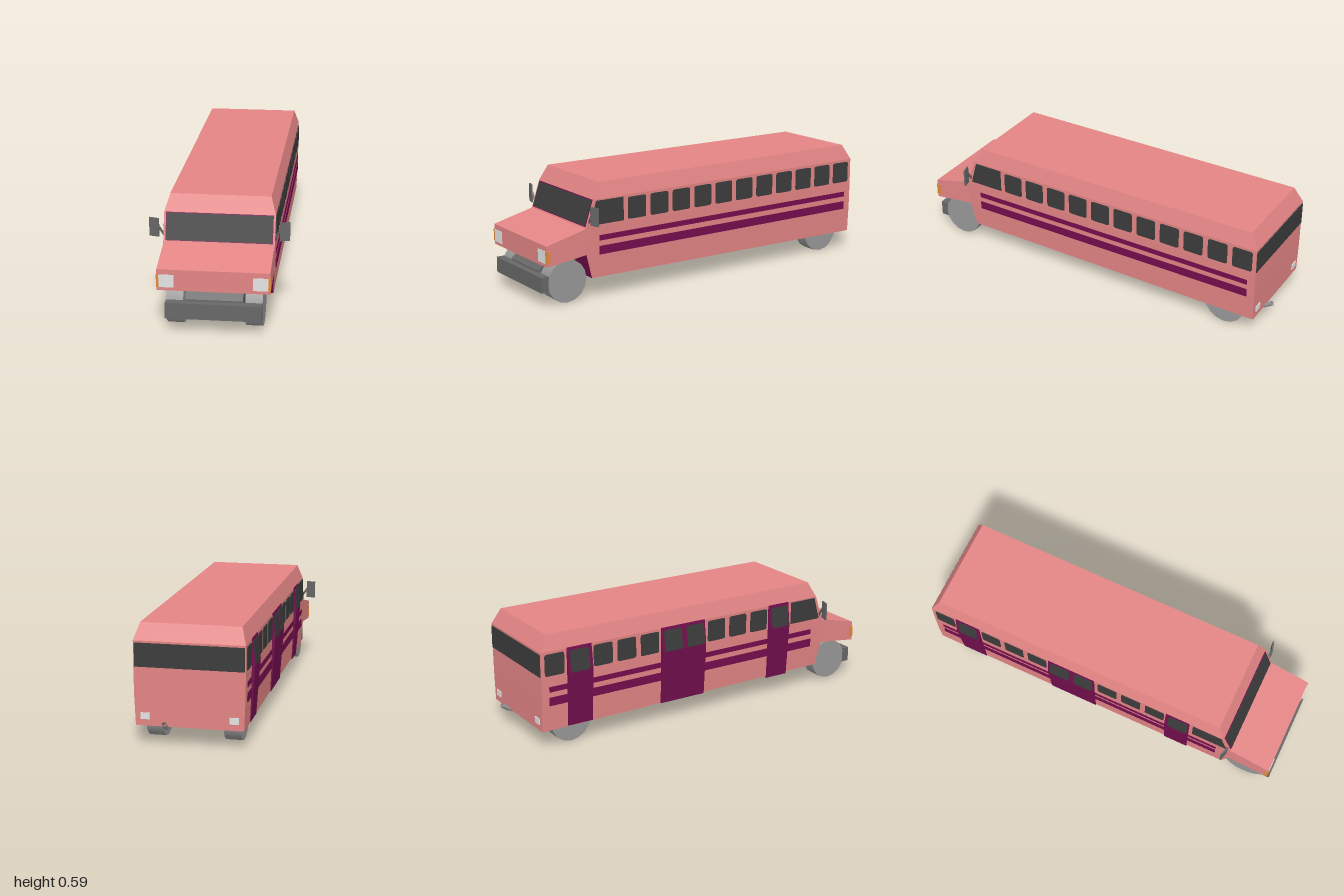
import * as THREE from 'three';

const mat = (name, color, side = THREE.FrontSide) => {
  const m = new THREE.MeshStandardMaterial({ color, side });
  m.name = name;
  return m;
};

export function createModel() {
  const bus = new THREE.Group();
  bus.name = 'bus';
  const paint = mat('salmon paint', 0xe48585);
  const purple = mat('purple trim', 0x740e4e);
  const glass = mat('dark glass', 0x3c3c3c);
  const steel = mat('dark grey steel', 0x686868);
  const rubber = mat('grey wheel', 0x989898);
  const lamp = mat('white lamp', 0xe4e4e4);
  const amber = mat('amber lamp', 0xe48a3c);

  const add = (name, geo, material, x = 0, y = 0, z = 0) => {
    const m = new THREE.Mesh(geo, material);
    m.name = name;
    m.position.set(x, y, z);
    bus.add(m);
    return m;
  };
  const box = (name, w, h, d, material, x, y, z) =>
    add(name, new THREE.BoxGeometry(w, h, d), material, x, y, z);

  // Flat-shaded surface from four-cornered faces
  const quads = (faces) => {
    const p = [];
    for (const [a, b, c, d] of faces) p.push(...a, ...b, ...c, ...a, ...c, ...d);
    const g = new THREE.BufferGeometry();
    g.setAttribute('position', new THREE.Float32BufferAttribute(p, 3));
    g.computeVertexNormals();
    return g;
  };
  const shapeOf = (pts) => new THREE.Shape(pts.map(([a, b]) => new THREE.Vector2(a, b)));
  // Extrude a (z, y) outline across x, centred
  const acrossX = (shape, width) =>
    new THREE.ExtrudeGeometry(shape, { depth: width, bevelEnabled: false, curveSegments: 3 })
      .translate(0, 0, -width / 2).rotateY(-Math.PI / 2);

  // Body shell: rings of [front y, back y, half width, front z, back z]
  const rings = [
    [0.113, 0.097, 0.262, 0.733, -0.956],
    [0.24, 0.24, 0.268, 0.767, -0.957],
    [0.37, 0.37, 0.27, 0.767, -0.957],
    [0.51, 0.51, 0.27, 0.72, -0.957],
    [0.59, 0.59, 0.245, 0.68, -0.914],
  ].map(([yf, yb, w, zf, zb]) => [[-w, yf, zf], [w, yf, zf], [w, yb, zb], [-w, yb, zb]]);
  const shell = [rings[4]], dark = [[...rings[0]].reverse()];
  for (let i = 0; i < 4; i++)
    for (let k = 0; k < 4; k++) {
      const n = (k + 1) % 4;
      const face = [rings[i][k], rings[i][n], rings[i + 1][n], rings[i + 1][k]];
      (i === 0 && k === 0 ? dark : shell).push(face);
    }
  add('bodyShell', quads(shell), paint);
  add('floorAndBulkhead', quads(dark), purple);

  // Hood with a dark underside
  add('hood', acrossX(shapeOf([[0.75, 0.24], [0.988, 0.211], [0.988, 0.316], [0.767, 0.37], [0.75, 0.37]]), 0.536), paint);
  add('hoodUnderside', quads([[[-0.26, 0.236, 0.767], [0.26, 0.236, 0.767], [0.26, 0.209, 0.98], [-0.26, 0.209, 0.98]].reverse()]), purple);

  // Engine and front bumper
  add('engine', acrossX(shapeOf([[0.735, 0.12], [0.965, 0.08], [0.965, 0.16], [0.9, 0.215], [0.79, 0.235], [0.74, 0.235]]), 0.274), steel);
  box('bumper', 0.46, 0.079, 0.042, steel, 0, 0.1125, 0.979);

  // Windscreen and rear window
  const tilt = -Math.atan(0.336);
  box('windscreenSeal', 0.52, 0.138, 0.004, purple, 0, 0.443, 0.743).rotation.x = tilt;
  box('windscreen', 0.512, 0.13, 0.008, glass, 0, 0.443, 0.744).rotation.x = tilt;
  box('rearWindow', 0.53, 0.116, 0.008, glass, 0, 0.442, -0.957);

  // Rounded side window outline, centred on its own middle
  const pane = (() => {
    const w = 0.0535, h = 0.056, r = 0.012, s = new THREE.Shape();
    s.moveTo(-w + r, -h);
    s.lineTo(w - r, -h); s.quadraticCurveTo(w, -h, w, -h + r);
    s.lineTo(w, h - r); s.quadraticCurveTo(w, h, w - r, h);
    s.lineTo(-w + r, h); s.quadraticCurveTo(-w, h, -w, h - r);
    s.lineTo(-w, -h + r); s.quadraticCurveTo(-w, -h, -w + r, -h);
    return acrossX(s, 0.006);
  })();
  const cabPane = acrossX(shapeOf([[0.55, 0.383], [0.742, 0.383], [0.708, 0.503], [0.55, 0.503]]), 0.006);

  // Bulging doors on the right side
  const doors = [[0.398, 0.53], [-0.275, -0.01], [-0.815, -0.677]];
  const doorShape = shapeOf([[-0.255, 0.102], [-0.266, 0.102], [-0.287, 0.385], [-0.271, 0.512], [-0.255, 0.512]]);
  for (const [z0, z1] of doors)
    add('door', new THREE.ExtrudeGeometry(doorShape, { depth: z1 - z0, bevelEnabled: false }), purple, 0, 0, z0);

  for (const s of [-1, 1]) {
    // Side windows
    add('cabWindow', cabPane, glass, s * 0.27);
    for (let i = 0; i < 11; i++) {
      const z = 0.47 - i * 0.1353;
      const onDoor = s < 0 && doors.some(([a, b]) => z > a && z < b);
      const win = add('sideWindow', pane, glass, s * (onDoor ? 0.2795 : 0.27), 0.441, z);
      if (onDoor) win.rotation.z = -0.127;
    }

    // Side stripes
    box('upperStripe', 0.008, 0.027, 1.605, purple, s * 0.268, 0.314, -0.1125);
    box('lowerStripe', 0.008, 0.043, 1.605, purple, s * 0.268, 0.251, -0.1125);

    // Lamps
    box('headlight', 0.073, 0.063, 0.008, lamp, s * 0.223, 0.259, 0.987);
    box('turnSignal', 0.012, 0.063, 0.022, amber, s * 0.2645, 0.259, 0.98);
    box('tailLight', 0.045, 0.032, 0.008, lamp, s * 0.215, 0.145, -0.957);

    // Wheels
    for (const z of [0.855, -0.78])
      add('wheel', new THREE.CylinderGeometry(0.109, 0.109, 0.082, 16).rotateZ(Math.PI / 2), rubber, s * 0.189, 0.111, z);

    // Mirrors on slanted arms
    box('mirror', 0.05, 0.093, 0.008, steel, s * 0.316, 0.437, 0.745).rotation.y = s * 0.28;
    const arm = new THREE.LineCurve3(new THREE.Vector3(s * 0.262, 0.393, 0.748), new THREE.Vector3(s * 0.298, 0.447, 0.748));
    add('mirrorArm', new THREE.TubeGeometry(arm, 1, 0.006, 6), steel);
  }

  // Exhaust pipe with an upturned tip
  const pipe = new THREE.CurvePath();
  const pts = [[0.09, -0.8], [0.088, -0.945], [0.119, -0.993]].map(([y, z]) => new THREE.Vector3(0.115, y, z));
  pipe.add(new THREE.LineCurve3(pts[0], pts[1]));
  pipe.add(new THREE.LineCurve3(pts[1], pts[2]));
  const pipeMat = mat('pipe grey', 0x989898, THREE.DoubleSide);
  add('exhaustPipe', new THREE.TubeGeometry(pipe, 12, 0.012, 8), pipeMat);

  return bus;
}
